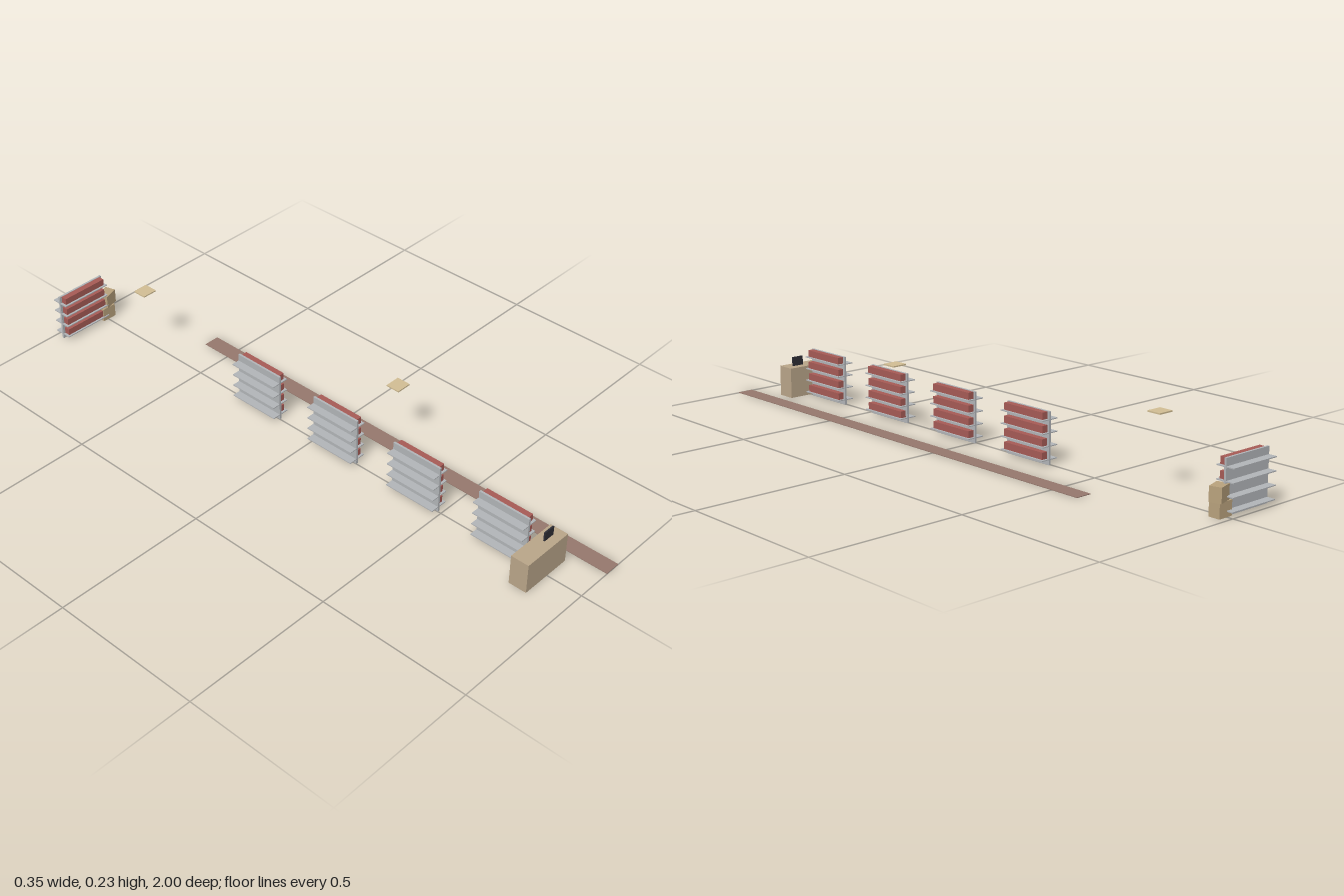
import * as THREE from 'three';

const mat = (name, color) => {
  const m = new THREE.MeshStandardMaterial({ color });
  m.name = name;
  return m;
};

export function createModel() {
  const grey = mat('shelf grey', 0xb0b3b6);
  const red = mat('stock red', 0xa55a55);
  const tan = mat('counter tan', 0xb8a488);
  const carton = mat('carton tan', 0xb8a17c);
  const cream = mat('panel cream', 0xd0bc92);
  const brown = mat('floor brown', 0x94776c);
  const dark = mat('screen dark', 0x2c2c34);

  const model = new THREE.Group();
  const box = (parent, name, material, size, pos, turn = 0) => {
    const mesh = new THREE.Mesh(new THREE.BoxGeometry(...size), material);
    mesh.name = name;
    mesh.position.set(...pos);
    mesh.rotation.y = turn;
    parent.add(mesh);
    return mesh;
  };

  // Shelf unit: upright panel, boards through both sides, goods on the front (+z)
  const shelfUnit = (name, x, z, turn) => {
    const unit = new THREE.Group();
    unit.name = name;
    box(unit, 'panel', grey, [0.176, 0.16, 0.007], [0, 0.08, 0]);
    for (let i = 0; i < 4; i++) {
      const y = 0.0165 + i * 0.0397;
      box(unit, 'shelf', grey, [0.176, 0.003, 0.06], [0, y, 0]);
      box(unit, 'goods', red, [0.161, 0.0215, 0.02], [0, y + 0.0125, 0.0135]);
    }
    unit.position.set(x, 0, z);
    unit.rotation.y = turn;
    model.add(unit);
  };
  for (let i = 0; i < 4; i++) shelfUnit('aisleShelf', 0.0035, -0.235 + i * 0.3177, Math.PI / 2);
  shelfUnit('backShelf', -0.086, -0.97, 0);

  // Counter with screen
  box(model, 'counter', tan, [0.178, 0.1, 0.06], [-0.006, 0.05, 0.852]);
  box(model, 'screen', dark, [0.04, 0.03, 0.005], [0.034, 0.115, 0.851]);

  // Two stacked cartons, the upper one turned
  box(model, 'lowerCarton', carton, [0.05, 0.045, 0.037], [0.006, 0.0225, -0.962]);
  box(model, 'upperCarton', carton, [0.05, 0.045, 0.037], [0.017, 0.0675, -0.965], 0.29);

  // Floor strip and hanging panels
  box(model, 'floorStrip', brown, [0.053, 0.002, 1.6], [0.1455, 0.001, 0.2]);
  box(model, 'ceilingPanel', cream, [0.05, 0.004, 0.046], [-0.0285, 0.2305, -0.712]);
  box(model, 'ceilingPanel', cream, [0.05, 0.004, 0.046], [0.146, 0.2305, 0.201]);

  return model;
}
